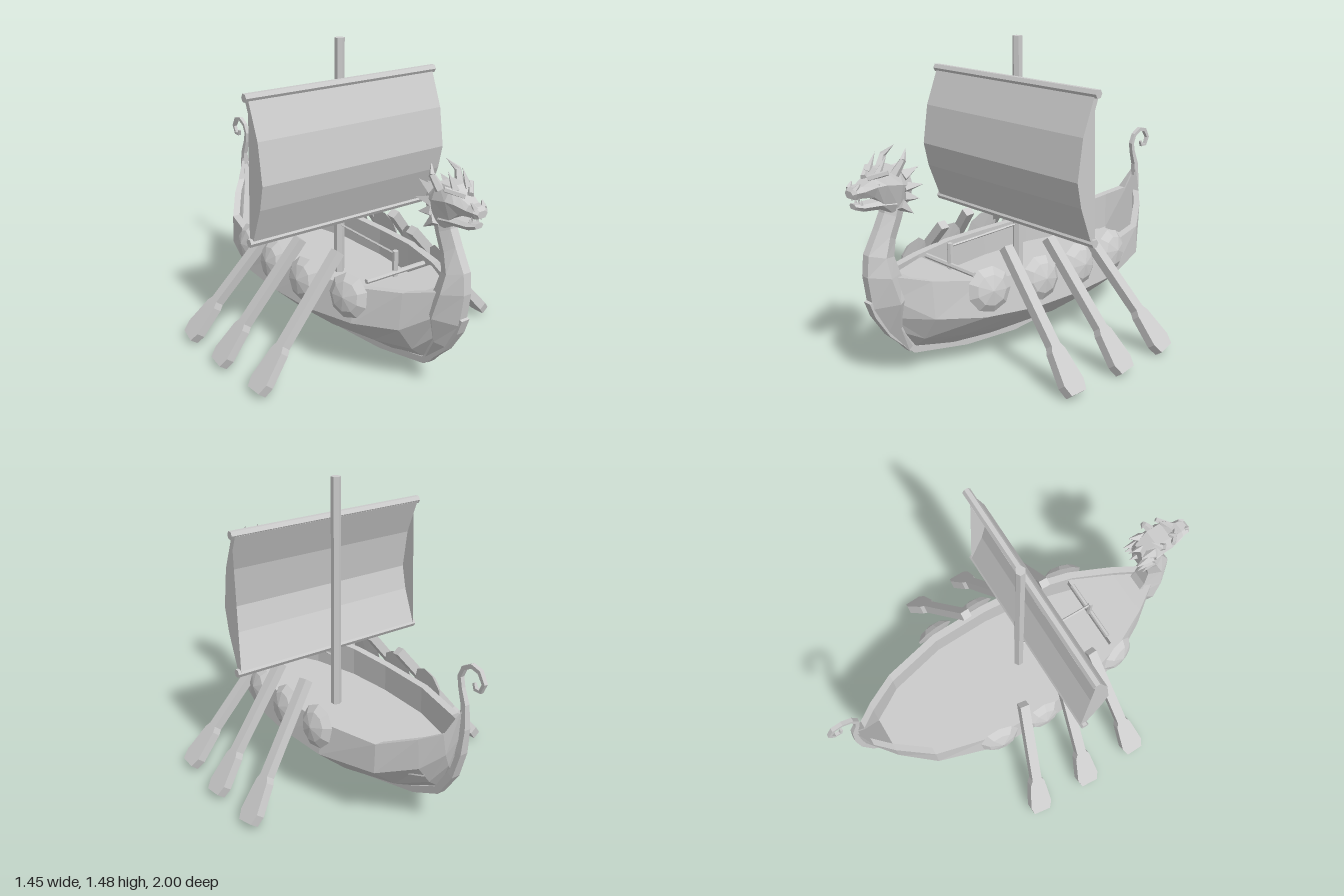
import * as THREE from 'three';

const material = new THREE.MeshStandardMaterial({ color: 0xcccccc, flatShading: true, side: THREE.DoubleSide });
const V = (x, y, z) => new THREE.Vector3(x, y, z);

function mesh(name, geometry, parent) {
  const m = new THREE.Mesh(geometry, material);
  m.name = name;
  parent.add(m);
  return m;
}

// Skin through closed rings of Vector3, capped at both ends, faces turned outward
function loft(rings) {
  const tris = [], n = rings[0].length;
  for (let i = 0; i < rings.length - 1; i++) {
    for (let j = 0; j < n; j++) {
      const k = (j + 1) % n, a = rings[i], b = rings[i + 1];
      tris.push([a[j], a[k], b[k]], [a[j], b[k], b[j]]);
    }
  }
  const first = rings[0], last = rings[rings.length - 1];
  for (let j = 1; j < n - 1; j++) {
    tris.push([first[0], first[j + 1], first[j]], [last[0], last[j], last[j + 1]]);
  }
  let volume = 0;
  for (const [a, b, c] of tris) volume += a.dot(b.clone().cross(c));
  if (volume < 0) tris.forEach(t => t.reverse());
  const g = new THREE.BufferGeometry().setFromPoints(tris.flat());
  g.computeVertexNormals();
  return g;
}

// Tapering spike or rod between two points
function rod(name, a, b, r0, r1, parent, sides = 5) {
  const dir = b.clone().sub(a);
  const m = mesh(name, new THREE.CylinderGeometry(r1, r0, dir.length(), sides), parent);
  m.position.copy(a).add(b).multiplyScalar(0.5);
  m.quaternion.setFromUnitVectors(V(0, 1, 0), dir.normalize());
  return m;
}

function buildHull(g) {
  // z, keel y, lower chine x/y, upper chine x/y, rim x/y
  const stations = [
    [0.84, 0.26, 0.03, 0.32, 0.05, 0.41, 0.05, 0.52],
    [0.70, 0.12, 0.08, 0.19, 0.16, 0.31, 0.145, 0.485],
    [0.50, 0.065, 0.14, 0.165, 0.27, 0.29, 0.245, 0.46],
    [0.25, 0.03, 0.19, 0.15, 0.335, 0.28, 0.31, 0.45],
    [0.00, 0.02, 0.205, 0.14, 0.355, 0.28, 0.33, 0.44],
    [-0.30, 0.05, 0.19, 0.15, 0.34, 0.28, 0.32, 0.44],
    [-0.60, 0.14, 0.13, 0.20, 0.25, 0.30, 0.245, 0.445],
    [-0.76, 0.22, 0.065, 0.27, 0.13, 0.36, 0.14, 0.51],
    [-0.84, 0.33, 0.03, 0.38, 0.05, 0.44, 0.07, 0.55],
    [-0.88, 0.45, 0.012, 0.48, 0.015, 0.53, 0.015, 0.66],
  ];
  const rings = stations.map(([z, yk, x1, y1, x2, y2, x3, y3], i) => {
    const inner = Math.max(x3 - 0.04, x3 * 0.3);
    const floorX = Math.min(inner, x2 * 0.85);
    const floorY = [0, 8, 9].includes(i) ? y3 - 0.02 : Math.max(0.3, y1 + 0.04);
    const half = [[x1, y1], [x2, y2], [x3, y3], [inner, y3], [floorX, floorY]];
    return [V(0, yk, z), ...half.map(([x, y]) => V(x, y, z)),
      ...half.reverse().map(([x, y]) => V(-x, y, z))];
  });
  mesh('hull', loft(rings), g);

  // Raised deck in the bow
  const bow = [[0.48, 0.22, 0.44], [0.70, 0.12, 0.46], [0.82, 0.03, 0.49]];
  mesh('foredeck', loft(bow.map(([z, x, y]) =>
    [V(-x, y, z), V(x, y, z), V(x, y - 0.05, z), V(-x, y - 0.05, z)])), g);

  // Keel strip running up the stern into a curled tail: z, y, half width, half depth
  const keel = [
    [0.925, 0.42, 0.022, 0.018], [0.90, 0.35, 0.022, 0.018], [0.83, 0.24, 0.022, 0.018], [0.71, 0.12, 0.022, 0.016],
    [0.40, 0.05, 0.022, 0.016], [0.08, 0.018, 0.022, 0.016], [-0.25, 0.038, 0.022, 0.016], [-0.60, 0.13, 0.022, 0.016],
    [-0.76, 0.21, 0.022, 0.018], [-0.84, 0.33, 0.022, 0.018], [-0.88, 0.46, 0.02, 0.018], [-0.892, 0.58, 0.016, 0.017],
    [-0.885, 0.69, 0.012, 0.014], [-0.86, 0.76, 0.01, 0.011], [-0.85, 0.81, 0.01, 0.01], [-0.87, 0.855, 0.01, 0.01],
    [-0.915, 0.88, 0.01, 0.01], [-0.96, 0.87, 0.01, 0.01], [-0.988, 0.825, 0.009, 0.009], [-0.97, 0.785, 0.008, 0.008],
    [-0.94, 0.785, 0.008, 0.008], [-0.93, 0.81, 0.006, 0.006],
  ];
  mesh('keelAndTail', loft(keel.map(([z, y, w, d], i) => {
    const p = keel[Math.max(i - 1, 0)], q = keel[Math.min(i + 1, keel.length - 1)];
    const len = Math.hypot(q[0] - p[0], q[1] - p[1]);
    const nz = -(q[1] - p[1]) / len * d, ny = (q[0] - p[0]) / len * d;
    return [V(w, y + ny, z + nz), V(w, y - ny, z - nz), V(-w, y - ny, z - nz), V(-w, y + ny, z + nz)];
  })), g);
}

function buildFigurehead(g) {
  // Neck: front z/y, back z/y, half width
  const neck = [
    [0.74, 0.12, 0.70, 0.15, 0.02], [0.85, 0.25, 0.76, 0.28, 0.05], [0.925, 0.385, 0.74, 0.42, 0.095],
    [0.945, 0.535, 0.79, 0.52, 0.085], [0.935, 0.63, 0.81, 0.60, 0.06], [0.88, 0.73, 0.795, 0.67, 0.045],
    [0.845, 0.80, 0.755, 0.76, 0.042], [0.83, 0.90, 0.72, 0.87, 0.045],
  ];
  mesh('neck', loft(neck.map(([zf, yf, zb, yb, w]) => {
    const z = (zf + zb) / 2, y = (yf + yb) / 2;
    return [V(0.02, yf, zf), V(w, y, z), V(w * 0.5, yb, zb), V(-w * 0.5, yb, zb), V(-w, y, z), V(-0.02, yf, zf)];
  })), g);

  // Head and jaw cross-sections: z, half width, bottom y, top y
  const block = rows => loft(rows.map(([z, w, lo, hi]) => {
    const m = lo + (hi - lo) * 0.6;
    return [V(w * 0.6, lo, z), V(w, m, z), V(w * 0.6, hi, z), V(-w * 0.6, hi, z), V(-w, m, z), V(-w * 0.6, lo, z)];
  }));
  mesh('head', block([[0.71, 0.045, 0.83, 0.95], [0.78, 0.072, 0.81, 0.995], [0.86, 0.075, 0.85, 0.995],
    [0.90, 0.062, 0.885, 0.965], [0.95, 0.045, 0.89, 0.94], [0.985, 0.042, 0.89, 0.94], [1.0, 0.028, 0.895, 0.925]]), g);
  mesh('lowerJaw', block([[0.80, 0.055, 0.79, 0.87], [0.87, 0.048, 0.825, 0.86],
    [0.95, 0.038, 0.832, 0.862], [0.985, 0.024, 0.845, 0.868]]), g);

  for (const s of [1, -1]) {
    rod('brow', V(s * 0.015, 0.965, 0.915), V(s * 0.075, 0.99, 0.855), 0.014, 0.012, g);
    rod('eye', V(s * 0.035, 0.935, 0.905), V(s * 0.058, 0.94, 0.885), 0.012, 0.008, g);
    rod('nostril', V(s * 0.022, 0.93, 0.985), V(s * 0.03, 0.955, 0.965), 0.014, 0.004, g);
    rod('frontHorn', V(s * 0.035, 0.98, 0.88), V(s * 0.04, 1.055, 0.835), 0.018, 0, g);
    rod('hornBase', V(s * 0.055, 0.97, 0.81), V(s * 0.072, 1.03, 0.775), 0.022, 0.014, g);
    rod('hornTip', V(s * 0.072, 1.025, 0.778), V(s * 0.04, 1.07, 0.735), 0.015, 0, g);
    rod('upperFang', V(s * 0.025, 0.895, 0.97), V(s * 0.025, 0.868, 0.97), 0.008, 0, g, 4);
    rod('lowerFang', V(s * 0.022, 0.86, 0.955), V(s * 0.022, 0.888, 0.955), 0.008, 0, g, 4);
    // Mane along the cheek
    for (const [y, z, ty, tz] of [[0.95, 0.76, 0.985, 0.685], [0.90, 0.76, 0.90, 0.665], [0.86, 0.76, 0.84, 0.685], [0.83, 0.78, 0.78, 0.72]]) {
      rod('maneSpike', V(s * 0.045, y, z), V(s * 0.06, ty, tz), 0.03, 0, g, 4);
    }
  }
  for (const [y, ty, tz] of [[0.94, 0.96, 0.67], [0.88, 0.87, 0.67]]) {
    rod('maneSpike', V(0, y, 0.75), V(0, ty, tz), 0.03, 0, g, 4);
  }
}

function buildRig(g) {
  rod('mast', V(0, 0.29, 0.038), V(0, 1.475, 0.038), 0.026, 0.024, g, 6);
  for (const y of [1.275, 0.6]) rod('yard', V(-0.54, y, 0.085), V(0.54, y, 0.085), 0.021, 0.021, g, 6);

  // Bellied sail
  const belly = [[0.095, 1.27], [0.165, 1.095], [0.195, 0.9], [0.168, 0.78], [0.098, 0.605]];
  const outline = x => [...belly.map(([z, y]) => V(x, y, z)),
    ...belly.slice().reverse().map(([z, y]) => V(x, y, z - 0.03))];
  const sail = loft([outline(-0.525), outline(0.525)]);
  mesh('sail', sail, g);

  // Cross bar, its post and the stay to the mast
  rod('crossBar', V(-0.17, 0.46, 0.48), V(0.17, 0.46, 0.48), 0.012, 0.012, g, 6);
  rod('stayPost', V(0, 0.44, 0.475), V(0, 0.565, 0.475), 0.014, 0.014, g, 6);
  rod('stay', V(0, 0.55, 0.475), V(0, 0.555, 0.04), 0.006, 0.006, g, 4);
}

function buildShields(g) {
  const dome = new THREE.LatheGeometry(
    [[0.001, -0.005], [0.105, 0], [0.07, 0.028], [0.001, 0.045]].map(p => new THREE.Vector2(...p)), 9);
  for (const s of [1, -1]) {
    for (const [z, x, turn] of [[0.48, 0.27, 0.3], [0.22, 0.335, 0.1], [-0.03, 0.345, 0], [-0.28, 0.335, -0.1]]) {
      const m = mesh('shield', dome, g);
      m.position.set(s * x, 0.42, z);
      m.quaternion.setFromUnitVectors(V(0, 1, 0), V(s, 0.18, turn).normalize());
    }
  }
}

function buildOars(g) {
  // Half outline of an oar of unit length: half width, distance along it
  const half = [[0.024, 0], [0.026, 0.68], [0.04, 0.72], [0.06, 0.93], [0.045, 1]];
  const oars = [[V(0.22, 0.565, 0.33), V(0.685, 0.02, 0.36)],
    [V(0.28, 0.57, 0.115), V(0.705, 0.02, 0.05)], [V(0.28, 0.57, -0.11), V(0.70, 0.02, -0.25)]];
  for (const [a, b] of oars) {
    for (const s of [1, -1]) {
      const start = V(s * a.x, a.y, a.z), along = V(s * b.x, b.y, b.z).sub(start), len = along.length();
      const pts = [...half, ...half.slice().reverse().map(([w, t]) => [-w, t])];
      const shape = new THREE.Shape(pts.map(([w, t]) => new THREE.Vector2(w, t * len)));
      const geo = new THREE.ExtrudeGeometry(shape, { depth: 0.044, bevelEnabled: false }).translate(0, 0, -0.022);
      const up = along.normalize();
      const side = V(0, 0, 1).addScaledVector(up, -up.z).normalize();
      const m = mesh('oar', geo, g);
      m.quaternion.setFromRotationMatrix(new THREE.Matrix4().makeBasis(side, up, side.clone().cross(up)));
      m.position.copy(start);
    }
  }
}

export function createModel() {
  const model = new THREE.Group();
  model.name = 'longship';
  for (const [name, build] of Object.entries({
    hullGroup: buildHull, figurehead: buildFigurehead, rig: buildRig, shields: buildShields, oars: buildOars,
  })) {
    const part = new THREE.Group();
    part.name = name;
    build(part);
    model.add(part);
  }
  return model;
}
